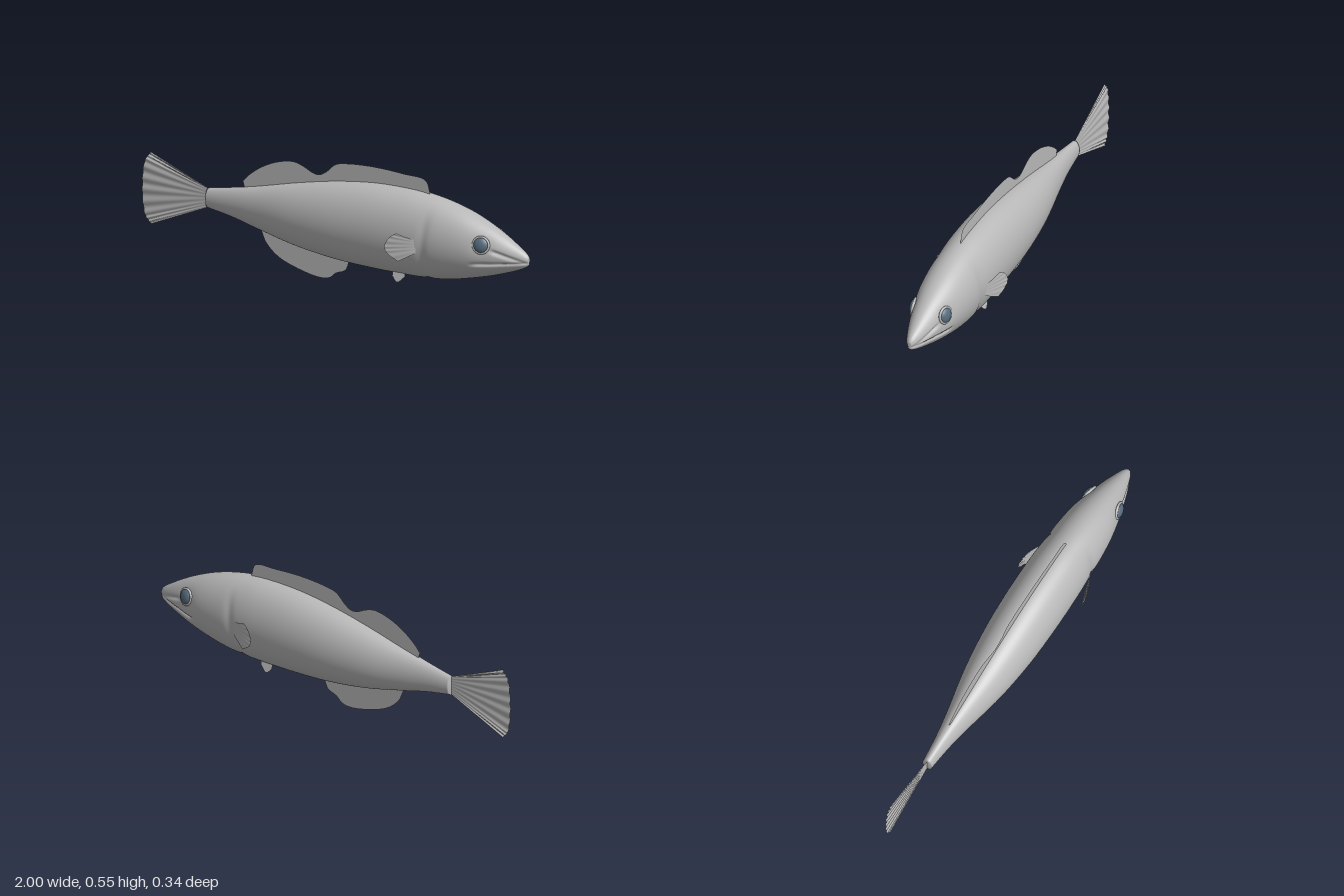
import * as THREE from 'three';

const skin = new THREE.MeshStandardMaterial({ color: 0xb8b8b8, side: THREE.DoubleSide });
skin.name = 'grey skin';
const eyeBlue = new THREE.MeshStandardMaterial({ color: 0x566a7c });
eyeBlue.name = 'slate eye';

// Grid surface from rows of points; wrap closes each row into a ring
function surface(rows, wrap) {
  const n = rows[0].length, pos = [], idx = [];
  rows.forEach(r => r.forEach(p => pos.push(p.x, p.y, p.z)));
  for (let i = 0; i < rows.length - 1; i++)
    for (let j = 0; j < (wrap ? n : n - 1); j++) {
      const a = i * n + j, b = i * n + (j + 1) % n, c = a + n, d = b + n;
      idx.push(a, b, c, b, d, c);
    }
  const g = new THREE.BufferGeometry();
  g.setAttribute('position', new THREE.Float32BufferAttribute(pos, 3));
  g.setIndex(idx);
  g.computeVertexNormals();
  return g;
}

function addMesh(parent, name, geometry, material) {
  const m = new THREE.Mesh(geometry, material);
  m.name = name;
  parent.add(m);
  return m;
}

const bump = (d, s) => Math.exp(-(d * d) / (s * s));
const ramp = (x, a, b) => THREE.MathUtils.smoothstep(x, a, b);

// Body stations: x, back height, belly height, half width
const stations = [
  [-0.66, 0.325, 0.235, 0.024], [-0.53, 0.348, 0.212, 0.038], [-0.4, 0.374, 0.18, 0.06],
  [-0.2, 0.421, 0.135, 0.1], [0, 0.46, 0.107, 0.124], [0.2, 0.484, 0.095, 0.133],
  [0.38, 0.486, 0.092, 0.132], [0.5, 0.475, 0.094, 0.126], [0.6, 0.456, 0.104, 0.121],
  [0.7, 0.427, 0.124, 0.109], [0.8, 0.386, 0.149, 0.087], [0.88, 0.345, 0.174, 0.062],
  [0.94, 0.309, 0.195, 0.041], [0.98, 0.283, 0.213, 0.024], [0.997, 0.266, 0.226, 0.012],
  [1, 0.254, 0.234, 0.005]];

function bodyGeometry() {
  const curve = k => new THREE.SplineCurve(stations.map(s => new THREE.Vector2(s[0], s[k])));
  const back = curve(1), belly = curve(2), width = curve(3);
  const rows = [], steps = 180, sides = 112;
  const cap = (x, y) => rows.push(Array.from({ length: sides }, () => new THREE.Vector3(x, y, 0)));
  cap(-0.66, 0.28);
  for (let i = 0; i <= steps; i++) {
    const t = i / steps, b = back.getPoint(t), x = b.x;
    const low = belly.getPoint(t).y, w = width.getPoint(t).y;
    const mid = (b.y + low) / 2, half = (b.y - low) / 2;
    const row = [];
    for (let j = 0; j < sides; j++) {
      const a = j / sides * Math.PI * 2, c = Math.cos(a);
      let y = mid + half * c, z = w * Math.sin(a);
      // gill cover edge, fading out over the back
      const gill = 0.045 * bump(x - 0.515 - 0.02 * c, 0.022) * (1 - ramp(c, 0.3, 0.9));
      // mouth slit and nose furrow
      const mouth = 0.17 * bump(y - (0.215 + (x - 0.74) * 0.09), 0.006) * ramp(x, 0.73, 0.79);
      const furrow = 0.16 * bump(y - (0.285 - (x - 0.84) * 0.3), 0.009) * ramp(x, 0.82, 0.87);
      // shallow socket round the eye
      const socket = 0.08 * bump(Math.hypot(x - 0.8, y - 0.31), 0.045);
      z *= 1 - gill - mouth - furrow - socket;
      y = mid + (y - mid) * (1 - gill * 0.5);
      row.push(new THREE.Vector3(x, y, z));
    }
    rows.push(row);
  }
  cap(1, 0.244);
  return surface(rows, true);
}

// Thin fin lofted from a root line to an outer edge, both given as [x, y]
function finGeometry(root, edge, shapeZ = () => 0, across = 48, along = 8) {
  const line = pts => new THREE.CatmullRomCurve3(
    pts.map(p => new THREE.Vector3(p[0], p[1], 0)), false, 'centripetal');
  const r = line(root), e = line(edge), rows = [];
  for (let i = 0; i <= along; i++) {
    const row = [];
    for (let j = 0; j <= across; j++) {
      const u = j / across, v = i / along;
      const p = r.getPoint(u).lerp(e.getPoint(u), v);
      p.z = shapeZ(p, u, v);
      row.push(p);
    }
    rows.push(row);
  }
  return surface(rows, false);
}

export function createModel() {
  const fish = new THREE.Group();
  fish.name = 'fish';
  addMesh(fish, 'body', bodyGeometry(), skin);

  // Fins on the centre line
  addMesh(fish, 'dorsalFin', finGeometry(
    [[-0.47, 0.35], [-0.2, 0.41], [0, 0.45], [0.2, 0.475], [0.49, 0.465]],
    [[-0.48, 0.385], [-0.45, 0.417], [-0.38, 0.467], [-0.3, 0.502], [-0.22, 0.516], [-0.17, 0.504],
      [-0.12, 0.481], [-0.085, 0.477], [-0.05, 0.495], [0, 0.537], [0.06, 0.55], [0.2, 0.557],
      [0.35, 0.549], [0.465, 0.536], [0.488, 0.48]], undefined, 90), skin);
  addMesh(fish, 'analFin', finGeometry(
    [[-0.37, 0.185], [-0.2, 0.145], [0.07, 0.11]],
    [[-0.385, 0.172], [-0.36, 0.12], [-0.3, 0.066], [-0.2, 0.026], [-0.08, 0.002], [-0.03, 0.01],
      [0, 0.034], [0.05, 0.056], [0.07, 0.1]], undefined, 60), skin);
  addMesh(fish, 'tailFin', finGeometry(
    [[-0.65, 0.32], [-0.65, 0.24]],
    [[-0.955, 0.445], [-0.985, 0.405], [-1, 0.28], [-0.985, 0.15], [-0.955, 0.112]],
    (p, u, v) => 0.0025 * v * Math.sin(u * Math.PI * 20), 120), skin);

  // Paired fins and eyes
  const pectoral = finGeometry(
    [[0.487, 0.295], [0.487, 0.235]],
    [[0.405, 0.322], [0.375, 0.302], [0.352, 0.26], [0.36, 0.232], [0.412, 0.193]],
    (p, u, v) => 0.12 + 0.048 * Math.pow(Math.max(0, (0.49 - p.x) / 0.14), 0.7)
      + 0.001 * v * Math.sin(u * Math.PI * 12));
  const pelvic = finGeometry(
    [[0.325, 0.115], [0.39, 0.115]],
    [[0.325, 0.088], [0.348, 0.066], [0.36, 0.066], [0.39, 0.093]],
    p => 0.048 + (0.115 - p.y) * 0.26, 12);

  for (const side of [1, -1]) {
    const name = side > 0 ? 'left' : 'right';
    const mirrored = g => {
      const c = g.clone().scale(1, 1, side);
      if (side < 0) {
        const ix = c.index.array;
        for (let i = 0; i < ix.length; i += 3) [ix[i], ix[i + 1]] = [ix[i + 1], ix[i]];
        c.computeVertexNormals();
      }
      return c;
    };
    addMesh(fish, name + 'PectoralFin', mirrored(pectoral), skin);
    addMesh(fish, name + 'PelvicFin', mirrored(pelvic), skin);

    // Eye sits against the cheek, turned slightly forward and up
    const eye = new THREE.Group();
    eye.name = name + 'Eye';
    eye.position.set(0.798, 0.31, side * 0.079);
    eye.lookAt(0.798 + 0.25, 0.31 + 0.2, side * 1.079);
    addMesh(eye, 'eyeball', new THREE.SphereGeometry(0.035, 32, 20), eyeBlue).scale.z = 0.5;
    addMesh(eye, 'eyeRim', new THREE.TorusGeometry(0.036, 0.006, 12, 40), skin);
    fish.add(eye);
  }
  return fish;
}
